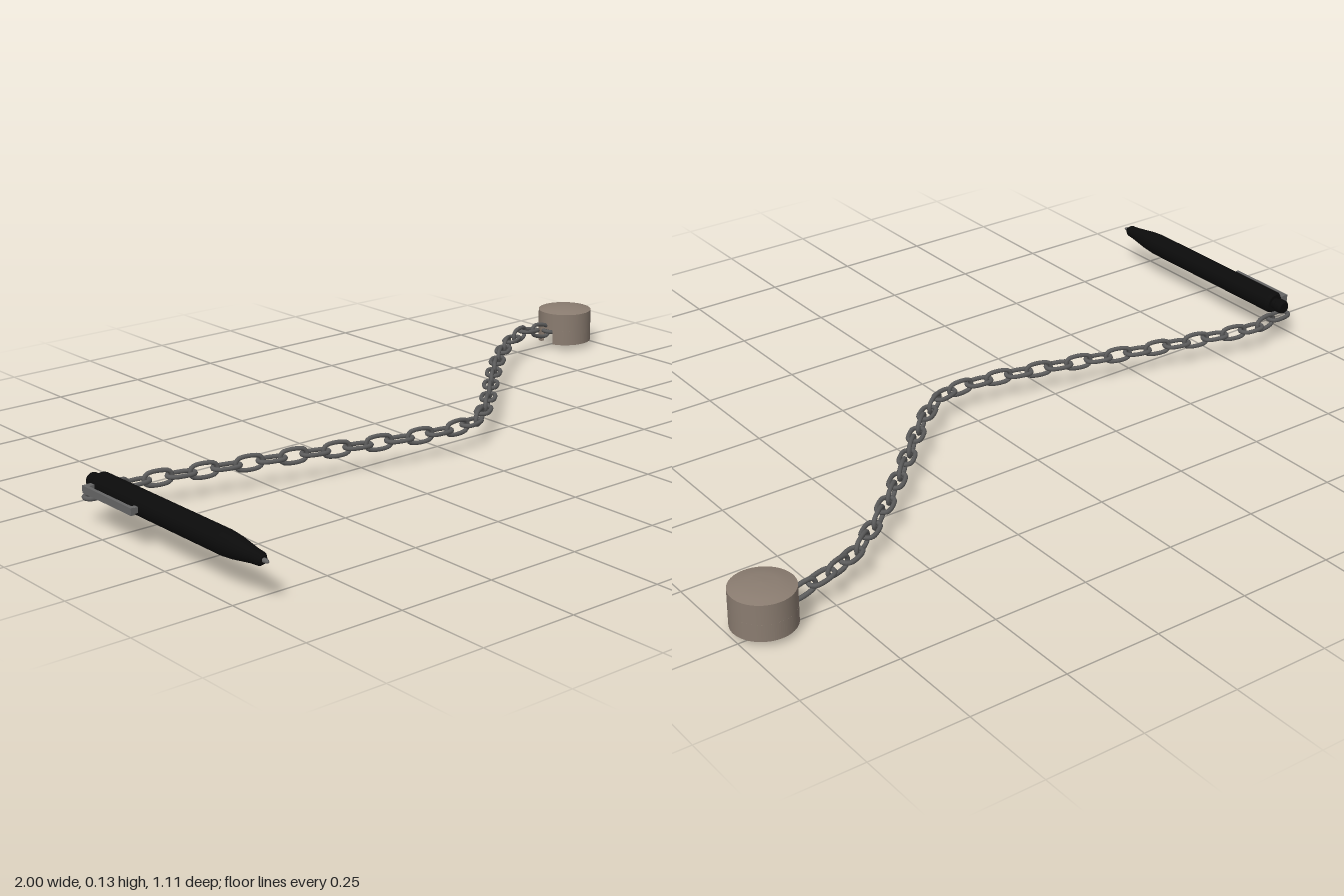
import * as THREE from 'three';

const material = (color) => new THREE.MeshStandardMaterial({ color, side: THREE.DoubleSide });
const V = (x, y, z) => new THREE.Vector3(x, y, z);
const lathe = (pairs, n) => new THREE.LatheGeometry(pairs.map(([r, y]) => new THREE.Vector2(r, y)), n);

function add(parent, name, geometry, mat, x = 0, y = 0, z = 0) {
  const mesh = new THREE.Mesh(geometry, mat);
  mesh.name = name;
  mesh.position.set(x, y, z);
  parent.add(mesh);
  return mesh;
}

// Lathe with each profile segment built separately, so its edges stay crisp
function crispLathe(parent, name, pairs, n, mat) {
  const part = new THREE.Group();
  part.name = name;
  for (let i = 0; i < pairs.length - 1; i++) {
    add(part, name + 'Band', lathe([pairs[i], pairs[i + 1]], n), mat);
  }
  parent.add(part);
}

// Oval link lying in the XZ plane, long along X
function linkGeometry() {
  const pts = [];
  for (const side of [1, -1]) {
    for (let i = 0; i <= 4; i++) {
      const a = -Math.PI / 2 + (i / 4) * Math.PI;
      pts.push(V(side * (0.0185 + 0.0165 * Math.cos(a)), 0, side * 0.0165 * Math.sin(a)));
    }
  }
  return new THREE.TubeGeometry(new THREE.CatmullRomCurve3(pts, true), 28, 0.0058, 8, true);
}

function makeChain() {
  const chain = new THREE.Group();
  chain.name = 'chain';
  const steel = material(0x5c5c5c);
  const path = new THREE.CatmullRomCurve3([
    [-0.945, -0.1], [-0.832, -0.114], [-0.72, -0.092], [-0.608, -0.066], [-0.495, -0.038],
    [-0.385, -0.009], [-0.275, 0.02], [-0.165, 0.047], [-0.052, 0.068], [0.06, 0.064],
    [0.152, 0.008], [0.238, -0.068], [0.32, -0.148], [0.402, -0.226], [0.486, -0.302],
    [0.575, -0.374], [0.668, -0.438], [0.77, -0.474], [0.875, -0.48, 0.045],
  ].map(([x, z, y = 0.068]) => V(x, y, z)));
  const geometry = linkGeometry();
  const count = (path.points.length - 1) * 2;
  // Links alternate between lying flat and standing on edge
  for (let i = 0; i <= count; i++) {
    const along = path.getTangent(i / count);
    const side = along.clone().cross(V(0, 1, 0)).normalize();
    const up = side.clone().cross(along);
    const link = add(chain, 'link', geometry, steel);
    link.position.copy(path.getPoint(i / count));
    link.quaternion.setFromRotationMatrix(new THREE.Matrix4().makeBasis(along, up, side));
    if (i % 2) link.rotateX(Math.PI / 2);
  }
  return chain;
}

function makePen() {
  const pen = new THREE.Group();
  pen.name = 'pen';
  const black = material(0x0b0b0b);
  const grey = material(0x666666);

  // Turned parts, built along Y then laid along Z
  const turned = new THREE.Group();
  turned.name = 'turnedParts';
  turned.rotation.x = Math.PI / 2;
  crispLathe(turned, 'barrel', [
    [0, -0.085], [0.024, -0.085], [0.03, -0.075], [0.03, 0.41], [0.027, 0.445],
    [0.018, 0.505], [0.016, 0.53], [0.009, 0.541], [0, 0.541],
  ], 24, black);
  crispLathe(turned, 'button', [
    [0, -0.121], [0.015, -0.121], [0.019, -0.115], [0.019, -0.1], [0.015, -0.096], [0.015, -0.08],
  ], 24, black);
  crispLathe(turned, 'nib', [[0.006, 0.538], [0.005, 0.551], [0.002, 0.557], [0, 0.557]], 12, grey);
  pen.add(turned);

  // Pocket clip on the right side
  add(pen, 'clipBar', new THREE.BoxGeometry(0.009, 0.018, 0.2), grey, -0.0475, 0, 0.022);
  add(pen, 'clipBridge', new THREE.BoxGeometry(0.024, 0.018, 0.016), grey, -0.037, 0, -0.07);
  add(pen, 'clipFoot', new THREE.BoxGeometry(0.012, 0.014, 0.014), grey, -0.038, 0, 0.113);
  pen.position.set(-0.946, 0.1, 0);
  return pen;
}

function makeAnchor() {
  const anchor = new THREE.Group();
  anchor.name = 'anchor';
  const metal = material(0x8a7c70);
  const outer = 0.077, inner = 0.066, split = 0.058, gap = 0.33;

  // Upper shell with a shallow domed top and a hollow underside
  crispLathe(anchor, 'cap', [
    [0, 0.09], [inner, 0.09], [inner, split], [outer, split], [outer, 0.107],
  ], 48, metal);
  add(anchor, 'dome', lathe([[outer, 0.107], [0.058, 0.112], [0.035, 0.1165], [0, 0.1175]], 48), metal);

  // Lower wall, left open where the chain enters
  const wall = new THREE.Shape();
  wall.absarc(0, 0, outer, -Math.PI + gap, Math.PI - gap, false);
  wall.absarc(0, 0, inner, Math.PI - gap, -Math.PI + gap, true);
  wall.closePath();
  const wallGeometry = new THREE.ExtrudeGeometry(wall, {
    depth: split - 0.015, bevelEnabled: false, curveSegments: 44,
  }).rotateX(-Math.PI / 2);
  add(anchor, 'wall', wallGeometry, metal, 0, 0.015, 0);

  // Post holding the last link
  add(anchor, 'post', new THREE.CylinderGeometry(0.006, 0.006, 0.092, 12), metal, -0.018, 0.046, 0.01);
  anchor.position.set(0.922, 0, -0.48);
  return anchor;
}

export function createModel() {
  const model = new THREE.Group();
  model.name = 'chainedPen';
  model.add(makePen(), makeChain(), makeAnchor());
  return model;
}
